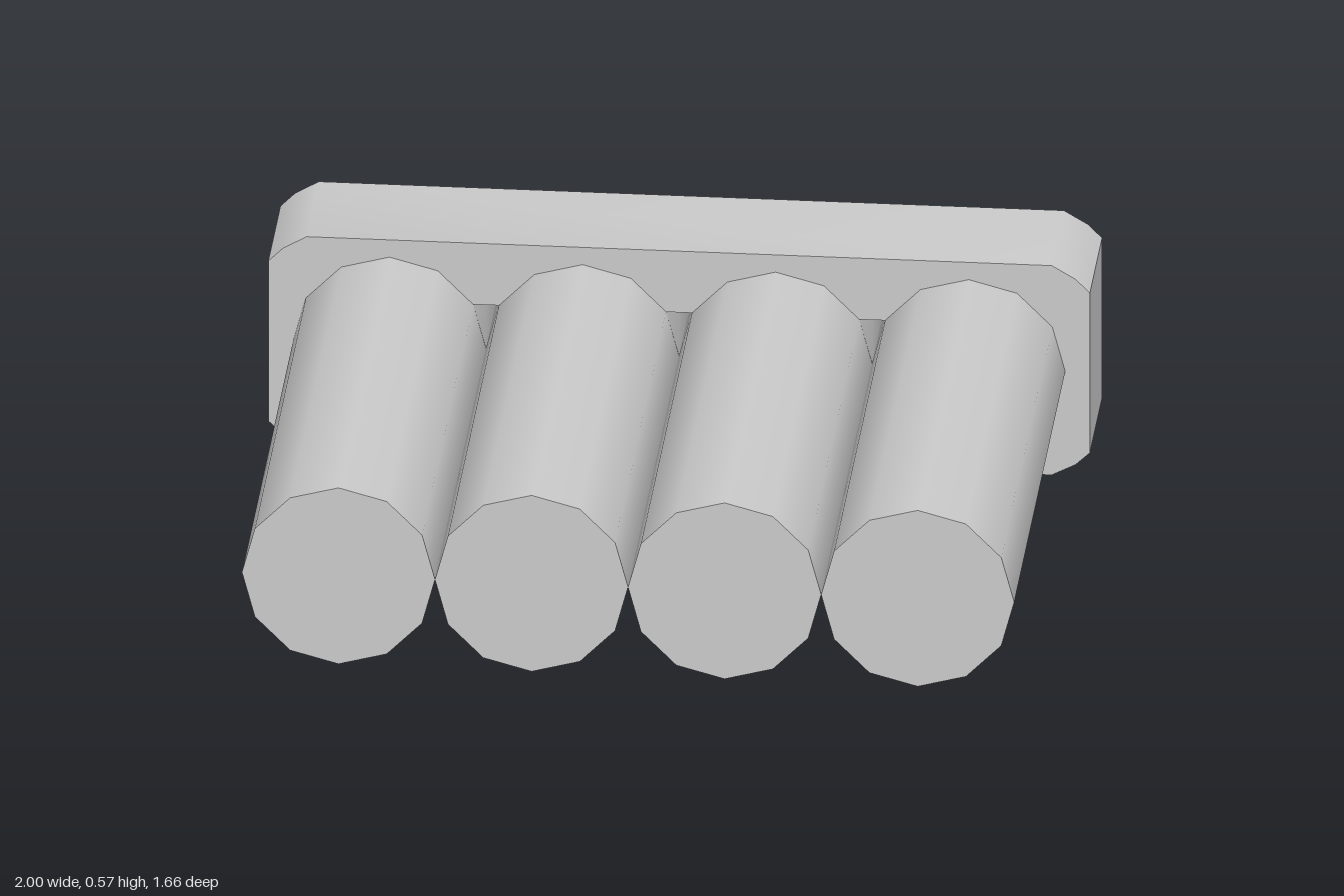
import * as THREE from 'three';
import { toCreasedNormals } from 'three/addons/utils/BufferGeometryUtils.js';

const RADIUS = 0.235, CENTER_Y = 0.285;
const BACK = -0.83, PLATE_FRONT = -0.51, FRONT = 0.83;

export function createModel() {
  const group = new THREE.Group();
  const material = new THREE.MeshStandardMaterial({ color: 0xcccccc });

  // Plate outline: right half, bottom to top, then mirrored
  const half = [
    [0.48, 0], [0.485, 0.007], [0.907, 0.007], [0.965, 0.037], [1, 0.07],
    [1, 0.497], [0.965, 0.532], [0.907, 0.566],
  ];
  const outline = [...half, ...half.map(([x, y]) => [-x, y]).reverse()];
  const shape = new THREE.Shape(outline.map(([x, y]) => new THREE.Vector2(x, y)));

  // Pairs of triangular gaps where neighbouring tubes touch
  const gapX = RADIUS * (1 - Math.cos(Math.PI / 6)), gapY = RADIUS / 2;
  for (const x of [-2 * RADIUS, 0, 2 * RADIUS]) {
    for (const s of [-1, 1]) {
      shape.holes.push(new THREE.Path([
        new THREE.Vector2(x, CENTER_Y + s * 0.002),
        new THREE.Vector2(x - gapX, CENTER_Y + s * gapY),
        new THREE.Vector2(x + gapX, CENTER_Y + s * gapY),
      ]));
    }
  }
  const plateGeometry = new THREE.ExtrudeGeometry(shape, {
    depth: PLATE_FRONT - BACK, bevelEnabled: false,
  });
  const plate = new THREE.Mesh(toCreasedNormals(plateGeometry, 0.7), material);
  plate.name = 'backPlate';
  plate.position.z = BACK;
  group.add(plate);

  // Four twelve-sided cylinders side by side
  const length = FRONT - PLATE_FRONT;
  const cylinderGeometry = new THREE.CylinderGeometry(RADIUS, RADIUS, length, 12);
  cylinderGeometry.rotateX(Math.PI / 2);
  for (let i = 0; i < 4; i++) {
    const cylinder = new THREE.Mesh(cylinderGeometry, material);
    cylinder.name = `cylinder${i + 1}`;
    cylinder.position.set((2 * i - 3) * RADIUS, CENTER_Y, PLATE_FRONT + length / 2);
    group.add(cylinder);
  }
  return group;
}
